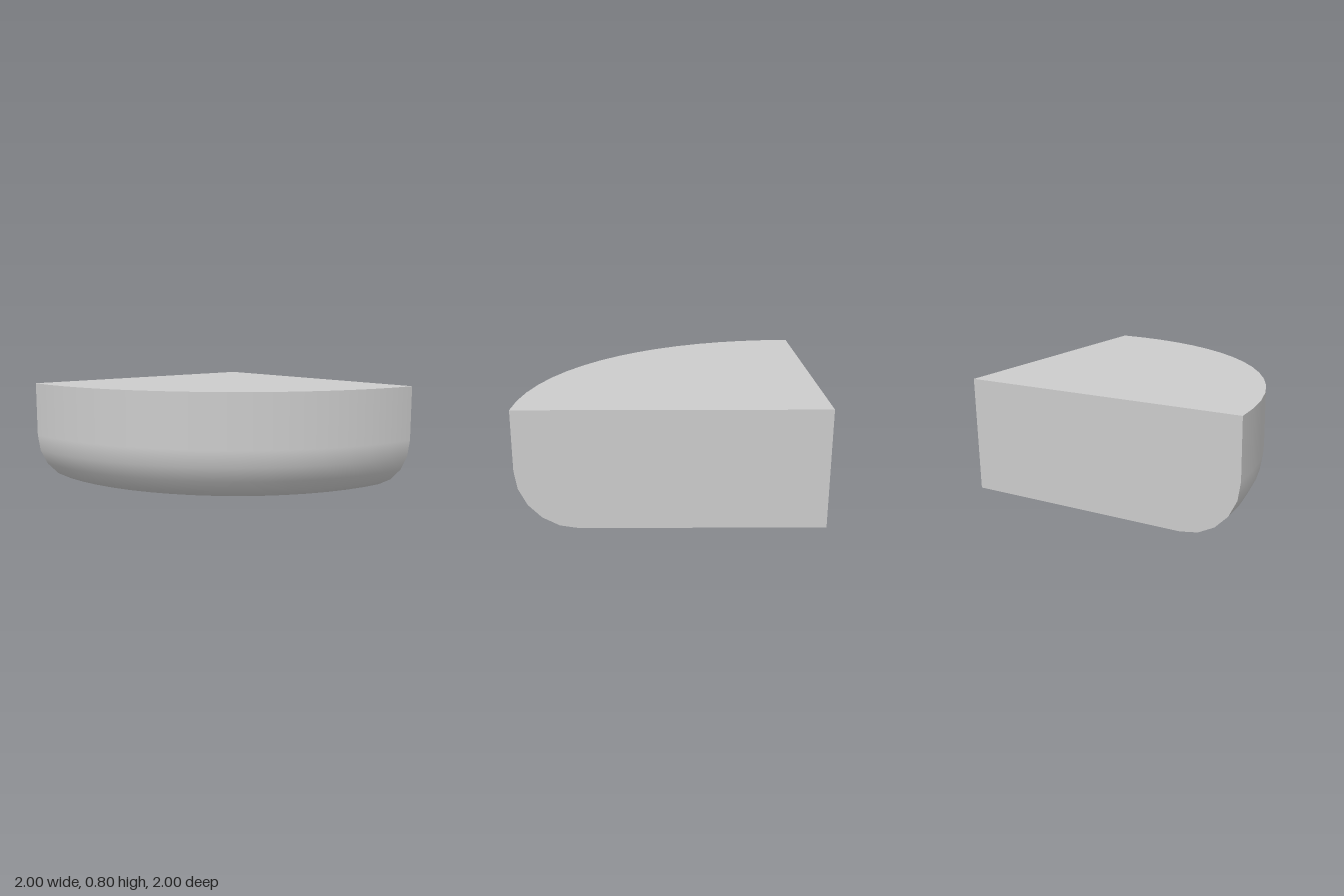
import * as THREE from 'three';

const RADIUS = 2, HEIGHT = 0.8, FILLET = 0.4;
const ARC_STEPS = 16, FILLET_STEPS = 5;

// Rounded lower edge, from the underside up to the wall
function filletPoints() {
  const points = [];
  for (let i = 0; i <= FILLET_STEPS; i++) {
    const a = (i / FILLET_STEPS) * Math.PI / 2;
    points.push(new THREE.Vector2(
      RADIUS - FILLET + FILLET * Math.sin(a),
      FILLET - FILLET * Math.cos(a)
    ));
  }
  return points;
}

const profile = [
  new THREE.Vector2(0, 0),
  ...filletPoints(),
  new THREE.Vector2(RADIUS, HEIGHT),
];

// Underside, fillet and wall in one sweep, with normals exactly tangent at the joins
function curvedBody() {
  const geometry = new THREE.LatheGeometry(profile, ARC_STEPS, 0, Math.PI / 2);
  const { position, normal } = geometry.attributes;
  const n = new THREE.Vector3();
  for (let i = 0; i < position.count; i++) {
    n.fromBufferAttribute(position, i);
    const outward = Math.max(0, n.setY(0).length() - (RADIUS - FILLET));
    n.setLength(outward).setY(Math.min(0, position.getY(i) - FILLET)).normalize();
    normal.setXYZ(i, n.x, n.y, n.z);
  }
  return geometry;
}

// Flat radial face with the body's profile; side mirrors it before turning
function cutFace(side, angle) {
  const outline = [...profile, new THREE.Vector2(0, HEIGHT)]
    .map((p) => new THREE.Vector2(p.x * side, p.y));
  return new THREE.ShapeGeometry(new THREE.Shape(outline)).rotateY(angle);
}

export function createModel() {
  const group = new THREE.Group();
  group.name = 'quarterRoundBlock';
  const material = new THREE.MeshStandardMaterial({ color: 0xcccccc });

  const add = (name, geometry, y = 0) => {
    const mesh = new THREE.Mesh(geometry, material);
    mesh.name = name;
    mesh.position.set(-1, y, -1);
    group.add(mesh);
  };

  add('curvedBody', curvedBody());

  // Flat top sector
  add('topFace', new THREE.CircleGeometry(RADIUS, ARC_STEPS, -Math.PI / 2, Math.PI / 2)
    .rotateX(-Math.PI / 2), HEIGHT);

  // Two straight sides meeting at the corner
  add('rightCutFace', cutFace(1, -Math.PI / 2));
  add('backCutFace', cutFace(-1, Math.PI));

  return group;
}
